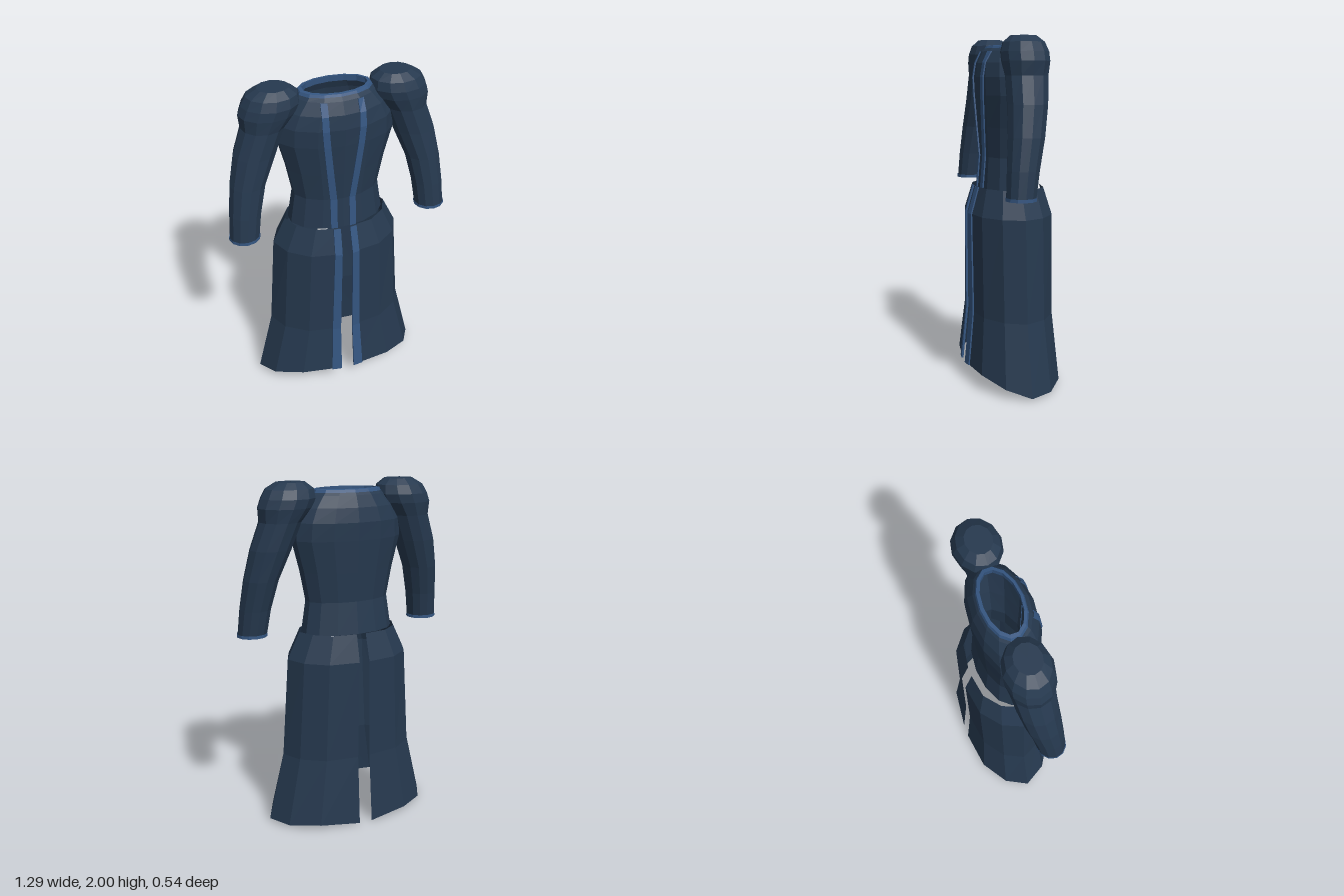
import * as THREE from 'three';

const cloth = new THREE.MeshStandardMaterial({ color: 0x26394f, flatShading: true, side: THREE.DoubleSide });
const trim = new THREE.MeshStandardMaterial({ color: 0x345580, flatShading: true, side: THREE.DoubleSide });

// Skin a list of cross-sections (bottom to top, each running front -> left -> back)
function loft(name, rings, material, closed = true) {
  const n = rings[0].length, pos = [], index = [];
  rings.forEach(r => r.forEach(p => pos.push(...p)));
  for (let i = 0; i < rings.length - 1; i++) {
    for (let j = 0; j < (closed ? n : n - 1); j++) {
      const a = i * n + j, b = i * n + (j + 1) % n;
      index.push(a, b, b + n, a, b + n, a + n);
    }
  }
  const geo = new THREE.BufferGeometry();
  geo.setAttribute('position', new THREE.Float32BufferAttribute(pos, 3));
  geo.setIndex(index);
  geo.computeVertexNormals();
  const mesh = new THREE.Mesh(geo, material);
  mesh.name = name;
  return mesh;
}

// Horizontal oval with separate front and back depths
function oval(sides, cx, y, cz, rx, front, back = front) {
  return Array.from({ length: sides }, (_, i) => {
    const a = (i / sides) * Math.PI * 2, c = Math.cos(a);
    return [cx + Math.sin(a) * rx, y, cz + c * (c > 0 ? front : back)];
  });
}

// Mirror sections across x, keeping them facing outwards
const mirror = rings => rings.map(r => r.map(([x, y, z]) => [-x, y, z]).reverse());

function addPair(group, name, rings, material, closed) {
  group.add(loft('left' + name, rings, material, closed));
  group.add(loft('right' + name, mirror(rings), material, closed));
}

// Depth of the front of a section at a given x
function frontZ(ring, x) {
  for (let j = 0; j < ring.length - 1; j++) {
    const [x0, , z0] = ring[j], [x1, , z1] = ring[j + 1];
    if (x >= x0 - 1e-4 && x <= x1) return z0 + (z1 - z0) * (x - x0) / (x1 - x0);
  }
  return ring[0][2];
}

// Raised strip section lying on a section of cloth
function stripRow(ring, x0, x1, y) {
  const z0 = frontZ(ring, x0), z1 = frontZ(ring, x1);
  return [[x0, y, z0 - 0.004], [x0, y, z0 + 0.008], [x1, y, z1 + 0.008], [x1, y, z1 - 0.004]];
}

export function createModel() {
  const coat = new THREE.Group();
  coat.name = 'coat';

  // Bodice: y, half width, front depth, back depth
  const bodice = [
    [1.145, 0.28, 0.17, 0.155], [1.33, 0.252, 0.155, 0.133], [1.5, 0.285, 0.168, 0.146],
    [1.68, 0.332, 0.18, 0.158], [1.78, 0.325, 0.184, 0.163], [1.86, 0.285, 0.172, 0.15],
    [1.925, 0.225, 0.142, 0.125], [1.945, 0.2, 0.118, 0.11],
  ].map(([y, rx, f, b]) => oval(14, 0, y, 0, rx, f, b));
  coat.add(loft('bodice', bodice, cloth));

  // Neckline band with a turned-in edge
  coat.add(loft('neckBand', [
    oval(14, 0, 1.93, 0, 0.213, 0.128, 0.118), oval(14, 0, 1.955, 0, 0.2, 0.114, 0.108),
    oval(14, 0, 1.958, 0, 0.18, 0.1, 0.09), oval(14, 0, 1.925, 0, 0.182, 0.1, 0.092),
  ], trim));

  // Bodice front strips: inner and outer x at each bodice section
  const stripX = [[0.037, 0.074], [0.036, 0.074], [0.056, 0.094], [0.076, 0.113],
    [0.084, 0.121], [0.085, 0.121], [0.083, 0.118]];
  addPair(coat, 'BodiceStrip',
    stripX.map(([a, b], i) => stripRow(bodice[i], a, b, bodice[i][0][1])), trim, false);

  // Puffed sleeves: centre x, y, centre z, radius x, radius z
  const sleeve = [
    [0.555, 1.145, 0.085, 0.085, 0.08], [0.538, 1.3, 0.068, 0.09, 0.088],
    [0.508, 1.47, 0.042, 0.1, 0.1], [0.455, 1.64, 0.02, 0.118, 0.11],
    [0.4, 1.79, 0.008, 0.12, 0.118], [0.372, 1.865, 0.005, 0.156, 0.13],
    [0.352, 1.915, 0.005, 0.158, 0.13], [0.342, 1.965, 0.007, 0.14, 0.112],
    [0.335, 2.0, 0.008, 0.085, 0.072], [0.335, 2.0, 0.008, 0.001, 0.001],
  ].map(([x, y, z, rx, rz]) => oval(12, x, y, z, rx, rz));
  addPair(coat, 'Sleeve', sleeve, cloth);

  // Wrist bands
  addPair(coat, 'Cuff', [
    oval(12, 0.555, 1.16, 0.085, 0.076, 0.071), oval(12, 0.555, 1.142, 0.085, 0.076, 0.071),
    oval(12, 0.555, 1.142, 0.085, 0.089, 0.084), oval(12, 0.555, 1.16, 0.085, 0.088, 0.083),
  ], trim);

  // Skirt halves, open at front and back, with a hem that dips behind
  const outline = [[0, 1], [0.55, 0.87], [0.86, 0.5], [1, 0], [0.86, -0.5], [0.55, -0.89], [0, -1]];
  const hem = [0.1, 0.1, 0.06, 0.02, 0.02, 0.03, 0.005];
  const skirt = [
    [null, 0.51, 0.265, 0.04], [0.42, 0.415, 0.233, 0.037],
    [1.0, 0.375, 0.236, 0.031], [1.155, 0.3, 0.192, 0.028],
  ].map(([y, rx, rz, gap]) => outline.map(([u, v], j) => [u ? u * rx : gap, y ?? hem[j], v * rz]));
  addPair(coat, 'Skirt', skirt, cloth, false);

  // Skirt front strips along the opening
  const widths = [0.06, 0.05, 0.042, 0.04];
  addPair(coat, 'SkirtStrip', skirt.map((r, i) =>
    stripRow(r, r[0][0], r[0][0] + widths[i], r[0][1])), trim, false);

  return coat;
}
